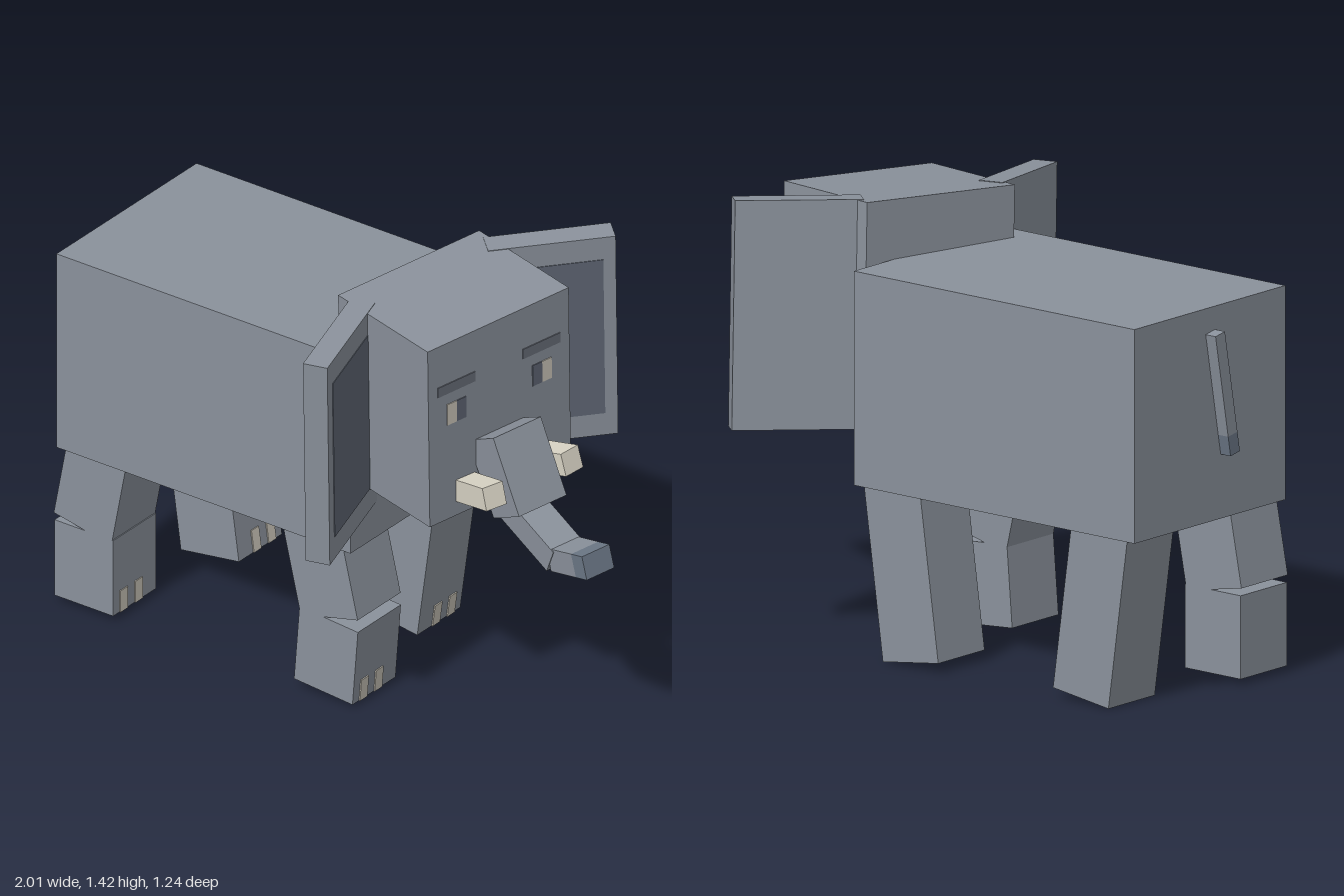
import * as THREE from 'three';

const mat = (name, color) => {
  const m = new THREE.MeshStandardMaterial({ color });
  m.name = name;
  return m;
};

export function createModel() {
  const skin = mat('grey skin', 0x8a919b);
  const slate = mat('dark slate', 0x5f6674);
  const brow = mat('brow grey', 0x686e79);
  const tipGrey = mat('blue grey tip', 0x6b7786);
  const nail = mat('toenail cream', 0xcbc6ba);
  const ivory = mat('ivory', 0xdad5c6);

  const box = (parent, name, material, size, pos, rot = [0, 0, 0]) => {
    const mesh = new THREE.Mesh(new THREE.BoxGeometry(...size), material);
    mesh.name = name;
    mesh.position.set(...pos);
    mesh.rotation.set(...rot);
    parent.add(mesh);
    return mesh;
  };
  const group = (parent, name, pos) => {
    const g = new THREE.Group();
    g.name = name;
    g.position.set(...pos);
    parent.add(g);
    return g;
  };

  const model = new THREE.Group();
  model.name = 'elephant';
  const midZ = -0.05;

  // Body
  box(model, 'body', skin, [1.13, 0.68, 0.72], [-0.395, 0.885, midZ]);

  // Legs: each segment hangs from its top centre and swings about z
  const W = 0.225;
  const segment = (name, x, y, side, length, angle, foot) => {
    const g = group(model, name, [x, y, midZ + side * 0.245]);
    g.rotation.z = angle;
    box(g, name + 'Block', skin, [W, length, W - 0.004], [0, -length / 2, 0]);
    if (!foot) return;
    for (const z of [0.058, -0.018]) {
      box(g, 'toenail', nail, [0.006, 0.075, 0.038], [W / 2 + 0.001, 0.0375 - length, side * z]);
    }
  };
  // Bent legs on one side
  segment('frontUpperLeg', 0.012, 0.6, 1, 0.318, 0.23, false);
  segment('frontLowerLeg', 0.083, 0.283, 1, 0.262, -0.08, true);
  segment('rearUpperLeg', -0.803, 0.6, 1, 0.318, -0.19, false);
  segment('rearLowerLeg', -0.858, 0.285, 1, 0.265, 0, true);
  // Straight legs on the other side
  segment('frontStraightLeg', 0.026, 0.6, -1, 0.588, -0.138, true);
  segment('rearStraightLeg', -0.821, 0.6, -1, 0.588, 0.138, true);

  // Tail
  const tail = group(model, 'tail', [-0.98, 0.95, -0.012]);
  tail.rotation.x = -0.18;
  box(tail, 'tailShaft', skin, [0.04, 0.335, 0.045], [0, 0.0325, 0]);
  box(tail, 'tailTip', tipGrey, [0.04, 0.065, 0.045], [0, -0.1675, 0]);

  // Head, turned and tilted a little
  const head = group(model, 'head', [0.335, 1.075, -0.004]);
  head.rotation.set(0.05, -0.233, -0.043, 'YZX');
  box(head, 'skull', skin, [0.43, 0.64, 0.565], [0, 0, 0]);

  for (const s of [1, -1]) {
    // Ears, hinged at the back of the head
    const ear = group(head, s > 0 ? 'leftEar' : 'rightEar', [-0.175, -0.038, s * 0.265]);
    ear.rotation.y = s * 0.5;
    box(ear, 'earFlap', skin, [0.08, 0.72, 0.4], [0.04, 0, s * 0.2]);
    box(ear, 'innerEar', slate, [0.006, 0.56, 0.32], [0.079, 0, s * 0.2]);

    // Face details
    box(head, 'eyeWhite', nail, [0.006, 0.075, 0.038], [0.215, 0.06, s * 0.19]);
    box(head, 'pupil', slate, [0.006, 0.075, 0.038], [0.215, 0.06, s * 0.152]);
    box(head, 'eyebrow', brow, [0.006, 0.035, 0.15], [0.215, 0.155, s * 0.17]);

    // Tusks, pointing up and slightly outward
    const tusk = group(head, 'tusk', [0.285, -0.21, s * 0.146]);
    tusk.rotation.set(0, -s * 0.1, 0.3, 'YZX');
    box(tusk, 'tuskBlock', ivory, [0.19, 0.075, 0.075], [0, 0, 0]);
  }

  // Trunk in three segments
  box(head, 'upperTrunk', skin, [0.14, 0.258, 0.19], [0.298, -0.179, 0], [0, 0, 0.484]);
  box(head, 'middleTrunk', skin, [0.25, 0.09, 0.115], [0.405, -0.345, 0], [0, 0, -0.38]);
  const lower = group(head, 'lowerTrunk', [0.598, -0.364, 0]);
  lower.rotation.z = 0.29;
  box(lower, 'lowerTrunkBlock', skin, [0.125, 0.078, 0.11], [-0.0275, 0, 0]);
  box(lower, 'trunkTip', tipGrey, [0.055, 0.078, 0.11], [0.0625, 0, 0]);

  return model;
}
